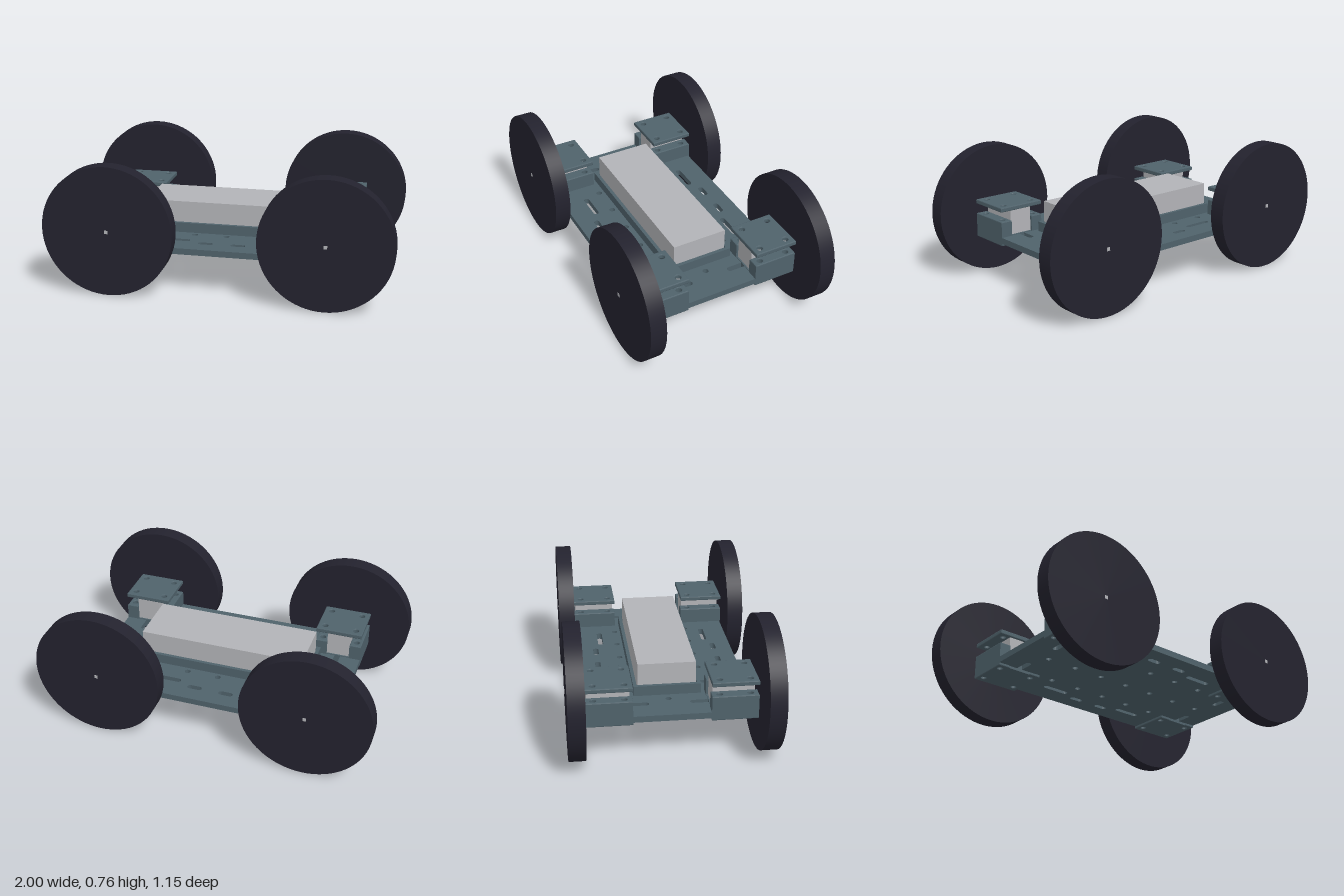
import * as THREE from 'three';

const mat = (name, color) => {
  const m = new THREE.MeshStandardMaterial({ color });
  m.name = name;
  return m;
};

export function createModel() {
  const root = new THREE.Group();
  root.name = 'rover';
  const slate = mat('slate', 0x4f626b);
  const grey = mat('lightGrey', 0xb2b3b7);
  const rubber = mat('rubber', 0x23222e);

  const add = (parent, name, geo, material, x = 0, y = 0, z = 0) => {
    const m = new THREE.Mesh(geo, material);
    m.name = name;
    m.position.set(x, y, z);
    parent.add(m);
    return m;
  };
  const box = (w, h, d) => new THREE.BoxGeometry(w, h, d);

  const rect = (w, d) => new THREE.Shape([
    new THREE.Vector2(-w / 2, -d / 2), new THREE.Vector2(w / 2, -d / 2),
    new THREE.Vector2(w / 2, d / 2), new THREE.Vector2(-w / 2, d / 2)]);

  const hole = (x, z, r) => new THREE.Path().absarc(x, z, r, 0, Math.PI * 2, true);

  // Rounded slot, lengthways along x or z
  const slot = (x, z, length, r, alongZ = false) => {
    const s = length / 2 - r, p = new THREE.Path(), q = Math.PI / 2;
    if (alongZ) {
      p.absarc(x, z + s, r, 0, 2 * q, false);
      p.absarc(x, z - s, r, 2 * q, 4 * q, false);
    } else {
      p.absarc(x + s, z, r, -q, q, false);
      p.absarc(x - s, z, r, q, 3 * q, false);
    }
    p.closePath();
    return p;
  };

  // Flat slab standing on y = 0, with optional bevelled rims
  const slab = (shape, height, bevel = 0) => {
    const g = new THREE.ExtrudeGeometry(shape, {
      depth: height - 2 * bevel, bevelEnabled: bevel > 0, bevelSize: bevel,
      bevelThickness: bevel, bevelOffset: -bevel, bevelSegments: 2, curveSegments: 10
    });
    g.rotateX(-Math.PI / 2);
    g.translate(0, bevel, 0);
    return g;
  };

  // Base plate with mounting holes and slots
  const plate = rect(1.52, 0.94);
  for (const s of [-1, 1]) {
    for (const x of [-0.38, -0.19, 0, 0.19, 0.38]) plate.holes.push(hole(x, s * 0.225, 0.017));
    plate.holes.push(hole(s * 0.57, 0, 0.017));
    for (const t of [-1, 1]) {
      plate.holes.push(slot(t * 0.28, s * 0.325, 0.17, 0.016));
      plate.holes.push(slot(t * 0.095, s * 0.362, 0.086, 0.016));
      plate.holes.push(slot(t * 0.62, s * 0.2, 0.17, 0.017, true));
    }
  }
  for (const x of [-0.38, -0.19, 0, 0.19, 0.38]) plate.holes.push(hole(x, 0, 0.017));
  add(root, 'basePlate', slab(plate, 0.036), slate, 0, 0.241, 0);

  // Battery held in an open frame
  const frame = rect(1.04, 0.382);
  frame.holes.push(new THREE.Path(rect(0.998, 0.342).getPoints().reverse()));
  add(root, 'batteryTray', slab(frame, 0.06), slate, 0, 0.275, 0);
  add(root, 'battery', box(0.99, 0.183, 0.33), grey, 0, 0.3685, 0);

  // One motor mount, motor and wheel per corner
  for (const sx of [-1, 1]) for (const sz of [-1, 1]) {
    const corner = new THREE.Group();
    corner.name = (sz > 0 ? 'front' : 'back') + (sx > 0 ? 'Left' : 'Right') + 'Drive';
    corner.position.set(sx * 0.62, 0, sz * 0.345);
    root.add(corner);

    add(corner, 'mountFloor', box(0.15, 0.055, 0.254), slate, 0, 0.2535, 0);
    const wall = rect(0.07, 0.26);
    for (const z of [-0.085, 0.085]) wall.holes.push(hole(0, z, 0.017));
    for (const x of [-0.105, 0.105]) add(corner, 'mountWall', slab(wall, 0.145, 0.005), slate, x, 0.225, 0);

    const cap = rect(0.28, 0.26);
    for (const x of [-0.095, 0.095]) for (const z of [-0.085, 0.085]) cap.holes.push(hole(x, z, 0.017));
    add(corner, 'mountCap', slab(cap, 0.027, 0.005), slate, 0, 0.427, 0);

    add(corner, 'motor', box(0.138, 0.149, 0.236), grey, 0, 0.354, 0);
    add(corner, 'axle', box(0.02, 0.02, 0.12), grey, 0, 0.381, sz * 0.17);

    const tyre = new THREE.CylinderGeometry(0.381, 0.381, 0.094, 72);
    tyre.rotateX(Math.PI / 2);
    add(corner, 'wheel', tyre, rubber, 0, 0.381, sz * 0.181);
  }
  return root;
}
